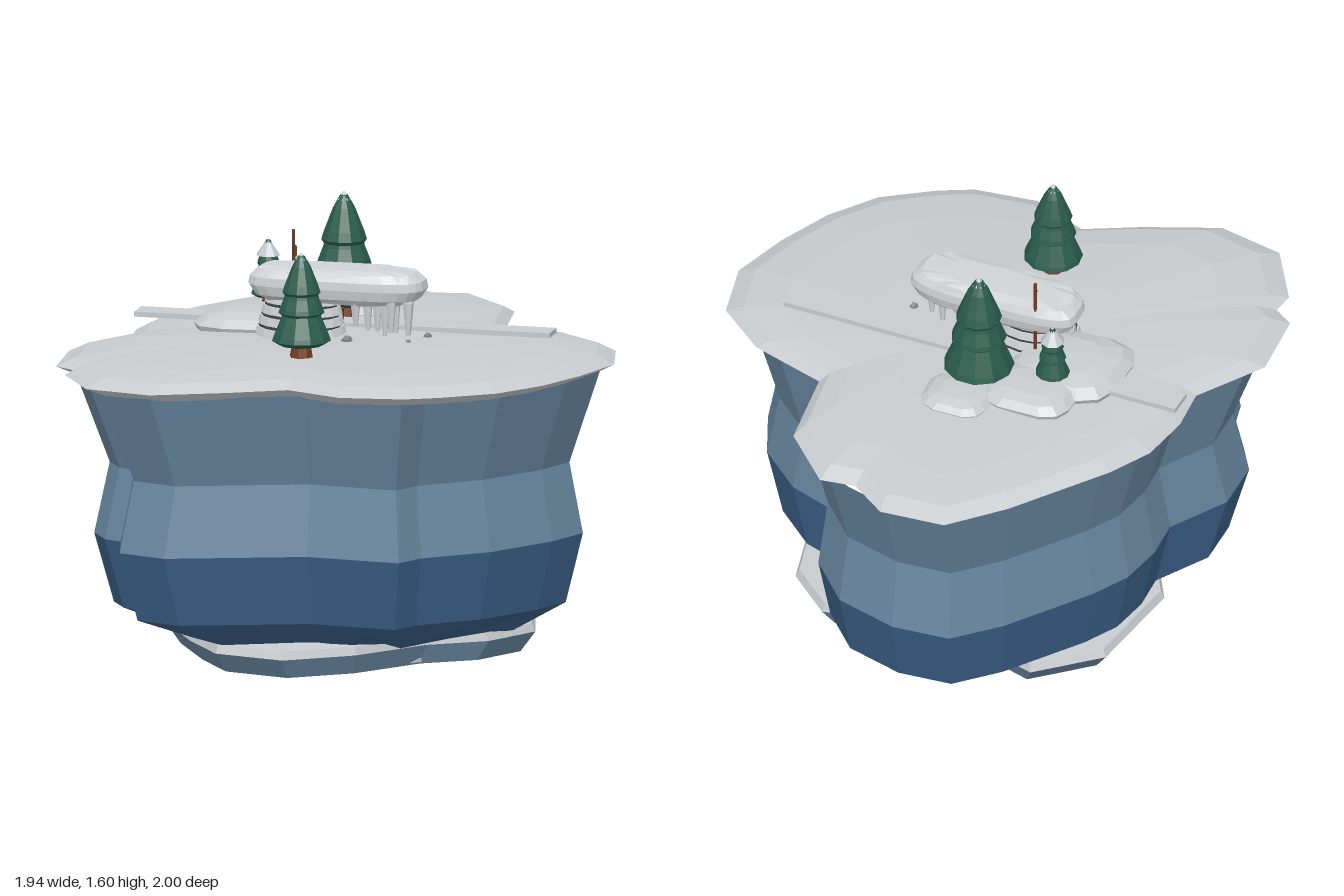
import * as THREE from 'three';

const mat = (name, color, extra = {}) => {
  const m = new THREE.MeshStandardMaterial({ color, flatShading: true, ...extra });
  m.name = name;
  return m;
};

// Stack of scaled outlines, bottom to top. rings: [scale, y, material index of the band above, wobble]
function loft(outline, rings, [cx, cz] = [0, 0]) {
  const pos = [], geo = new THREE.BufferGeometry(), n = outline.length;
  const pt = (k, i) => {
    const [s, y, , wob = 0] = rings[k], [x, z] = outline[i % n];
    return [cx + (x - cx) * s, y + wob * Math.sin((i % n) * 2.4), cz + (z - cz) * s];
  };
  for (let k = 0; k < rings.length - 1; k++) {
    const start = pos.length / 3;
    for (let i = 0; i < n; i++) {
      const a = pt(k, i), a1 = pt(k, i + 1), b = pt(k + 1, i), b1 = pt(k + 1, i + 1);
      if (rings[k][0] > 0) pos.push(...a1, ...a, ...b);
      if (rings[k + 1][0] > 0) pos.push(...a1, ...b, ...b1);
    }
    geo.addGroup(start, pos.length / 3 - start, rings[k][2] || 0);
  }
  geo.setAttribute('position', new THREE.Float32BufferAttribute(pos, 3));
  geo.computeVertexNormals();
  return geo;
}

// Rounded rectangle outline with slightly uneven sides
function pebble(w, d, count, power, uneven) {
  const bulge = t => Math.sign(t) * Math.pow(Math.abs(t), power);
  return Array.from({ length: count }, (_, i) => {
    const a = (i + 0.4) * 2 * Math.PI / count, k = 1 + uneven * Math.sin(i * 5);
    return [bulge(Math.cos(a)) * w / 2 * k, bulge(Math.sin(a)) * d / 2 * k];
  });
}

export function createModel() {
  const root = new THREE.Group();
  root.name = 'snowyIsland';
  const snow = mat('snow', 0xc7cbce), ice = mat('upperIce', 0x67869f), deep = mat('deepIce', 0x3a5f86);
  const green = mat('pineGreen', 0x295c4b), wood = mat('wood', 0x753a1e), glass = mat('darkGlass', 0x2a4868);
  const line = mat('darkLine', 0x3c4044), stone = mat('stoneGrey', 0x808487);
  const bright = mat('brightSnow', 0xd0d3d5, { side: THREE.DoubleSide });

  const add = (name, geo, material, x = 0, y = 0, z = 0, parent = root) => {
    const m = new THREE.Mesh(geo, material);
    m.name = name;
    m.position.set(x, y, z);
    parent.add(m);
    return m;
  };
  const box = (w, h, d) => new THREE.BoxGeometry(w, h, d);

  // Snow cap outline, clockwise seen from above (x, z)
  const shore = [[-0.3, -0.98], [-0.06, -1], [0.08, -0.9], [0.21, -0.92], [0.4, -0.725], [0.445, -0.4],
    [0.73, -0.31], [0.915, -0.16], [0.967, 0.07], [0.9, 0.29], [0.81, 0.49], [0.685, 0.66], [0.51, 0.78],
    [0.39, 0.84], [0.16, 0.87], [-0.05, 0.785], [-0.245, 0.885], [-0.505, 0.995], [-0.75, 0.945],
    [-0.885, 0.725], [-0.875, 0.64], [-0.95, 0.59], [-0.972, 0.32], [-0.815, 0.07], [-0.83, -0.105],
    [-0.8, -0.3], [-0.715, -0.46], [-0.47, -0.8]];
  add('snowCap', loft(shore, [[0, 1.05], [0.93, 1.05], [1, 1.085], [0.93, 1.115], [0.78, 1.133], [0.45, 1.147], [0, 1.152]]), snow);

  // Cliff with broad faces and two narrow vertical creases at the front
  const cliff = [[-0.28, -0.91], [-0.05, -0.93], [0.2, -0.86], [0.37, -0.68], [0.41, -0.375], [0.65, -0.29],
    [0.83, -0.13], [0.915, 0.07], [0.84, 0.25], [0.66, 0.5], [0.43, 0.68], [0.37, 0.79], [0, 0.76],
    [-0.52, 0.93], [-0.71, 0.87], [-0.76, 0.66], [-0.83, 0.63], [-0.9, 0.52], [-0.905, 0.3], [-0.77, 0.07],
    [-0.78, -0.1], [-0.75, -0.28], [-0.67, -0.43], [-0.44, -0.75]];
  add('iceCliff', loft(cliff, [[0, 0.13, 1], [0.64, 0.105, 1, 0.015], [0.86, 0.21, 1], [0.93, 0.465, 0],
    [0.875, 0.72, 0], [1, 1.06, 0]]), [ice, deep]);

  // Foot of the island, a hollow rim from below
  const foot = [[-0.4, -0.45], [-0.2, -0.39], [0, -0.45], [0.2, -0.38], [0.42, -0.43], [0.59, -0.28], [0.65, -0.04],
    [0.53, 0.16], [0.33, 0.28], [0.13, 0.52], [-0.1, 0.67], [-0.36, 0.61], [-0.5, 0.42], [-0.66, 0.14], [-0.61, -0.26]];
  add('foot', loft(foot, [[0, 0.095, 0], [0.84, 0.095, 0], [0.87, 0.003, 0], [0.92, 0.003, 1], [1, 0.075, 0],
    [0.98, 0.105, 0], [0.75, 0.115, 0], [0, 0.14, 0]], [0, 0.1]), [snow, ice]);

  // Bowl and paned hatch under the island
  const bowl = [[0.25, 0.094], [0.29, 0.065], [0.33, 0.055], [0.385, 0.01], [0.415, 0.01], [0.43, 0.096]];
  add('undersideBowl', new THREE.LatheGeometry(bowl.map(p => new THREE.Vector2(...p)), 20), bright, -0.03, 0, 0.03);
  add('hatchFrame', box(0.33, 0.008, 0.33), ice, -0.04, 0.091, 0.03);
  for (const sx of [-1, 1]) for (const sz of [-1, 1]) {
    add('hatchPane', box(0.146, 0.008, 0.146), glass, -0.04 + sx * 0.081, 0.086, 0.03 + sz * 0.081);
  }

  // Long thin plank across the snow
  add('plank', box(1.525, 0.018, 0.1), snow, -0.057, 1.156, -0.075);

  // Low snow mounds
  const mound = (x, z, w, d, h) => add('snowMound', loft(pebble(w, d, 12, 0.6, 0.03),
    [[0.95, 0], [1, h * 0.35], [0.82, h * 0.75], [0.5, h], [0, h * 1.05]]), snow, x, 1.135, z);
  mound(-0.37, -0.03, 0.43, 0.38, 0.07);
  mound(-0.3, -0.22, 0.36, 0.27, 0.06);
  mound(-0.075, -0.345, 0.26, 0.23, 0.045);

  // Stepped snow hut under the slab, its courses growing shallower upwards
  for (let i = 0; i < 4; i++) {
    const r = 0.165 - i * 0.009, y = 1.162 + i * 0.034, z = 0.088 - i * 0.01, depth = 1 - i * 0.13;
    add('hutCourse', new THREE.CylinderGeometry(r - 0.008, r, 0.03, 18), bright, -0.18, y, z).scale.z = depth;
    add('hutJoint', new THREE.CylinderGeometry(r - 0.014, r - 0.014, 0.006, 18), line, -0.18, y + 0.017, z).scale.z = depth;
  }
  add('roofSlab', loft(pebble(0.645, 0.225, 24, 0.55, 0.01), [[0, 0], [0.78, 0, 0, 0.004], [0.93, 0.02], [1, 0.055],
    [0.98, 0.085], [0.88, 0.112, 0, 0.004], [0.6, 0.122], [0, 0.124]]), bright, -0.055, 1.263, 0.045);

  // Icicles below the slab
  const icicles = [[0.07, 0.1, 0.11], [0.085, 0.02, 0.13], [0.13, 0.09, 0.13], [0.155, 0.03, 0.13],
    [0.16, 0.12, 0.11], [0.21, 0.06, 0.13], [0.22, 0.11, 0.12], [0.03, 0.12, 0.09]];
  for (const [x, z, h] of icicles) {
    add('icicle', new THREE.CylinderGeometry(0.02, 0.008, h, 6), bright, x, 1.28 - h / 2, z);
  }
  for (const [x, z, r] of [[0.02, 0.205, 0.022], [0.28, 0.06, 0.016], [0.235, 0.165, 0.01]]) {
    add('stone', new THREE.DodecahedronGeometry(r), stone, x, 1.148, z);
  }

  // Flag with its line down to a small sign
  add('flagPole', new THREE.CylinderGeometry(0.006, 0.006, 0.35, 6), wood, -0.24, 1.315, -0.045);
  add('flag', box(0.008, 0.036, 0.05), wood, -0.23, 1.42, -0.023).rotation.y = 0.45;
  const rope = new THREE.LineCurve3(new THREE.Vector3(-0.24, 1.46, -0.04), new THREE.Vector3(-0.12, 1.16, 0.29));
  add('rope', new THREE.TubeGeometry(rope, 1, 0.0015, 4), line);
  for (const [x, z] of [[-0.125, 0.25], [-0.1, 0.3]]) {
    add('signBoard', box(0.01, 0.03, 0.035), wood, x, 1.166, z).rotation.y = 0.45;
  }
  add('doorPost', box(0.02, 0.07, 0.02), wood, -0.06, 1.185, -0.02);

  // Three-tiered pines with snowy tips
  const tiers = [[0, 0.1], [0.75, 0.11], [1, 0.155], [0.95, 0.2], [0.69, 0.38], [0.66, 0.4], [0.78, 0.43], [0.74, 0.47],
    [0.6, 0.57], [0.57, 0.6], [0.65, 0.63], [0.57, 0.7], [0.32, 0.88], [0.12, 0.98], [0, 1]];
  const pine = (x, y, z, r, h, tip) => {
    const g = new THREE.Group();
    g.name = 'pine';
    g.position.set(x, y, z);
    root.add(g);
    add('trunk', new THREE.CylinderGeometry(r * 0.28, r * 0.4, h * 0.18, 8), wood, 0, h * 0.08, 0, g);
    add('foliage', new THREE.LatheGeometry(tiers.map(([a, b]) => new THREE.Vector2(a * r, b * h)), 11), green, 0, 0, 0, g);
    add('snowTip', new THREE.ConeGeometry(r * tip * 1.3, h * tip * 0.5, 8), snow, 0, h * (1.02 - tip * 0.25), 0, g);
  };
  pine(-0.1, 1.145, -0.225, 0.127, 0.45, 0.15);
  pine(-0.08, 1.145, 0.47, 0.106, 0.37, 0.15);
  pine(-0.365, 1.19, -0.175, 0.062, 0.235, 0.55);

  return root;
}
